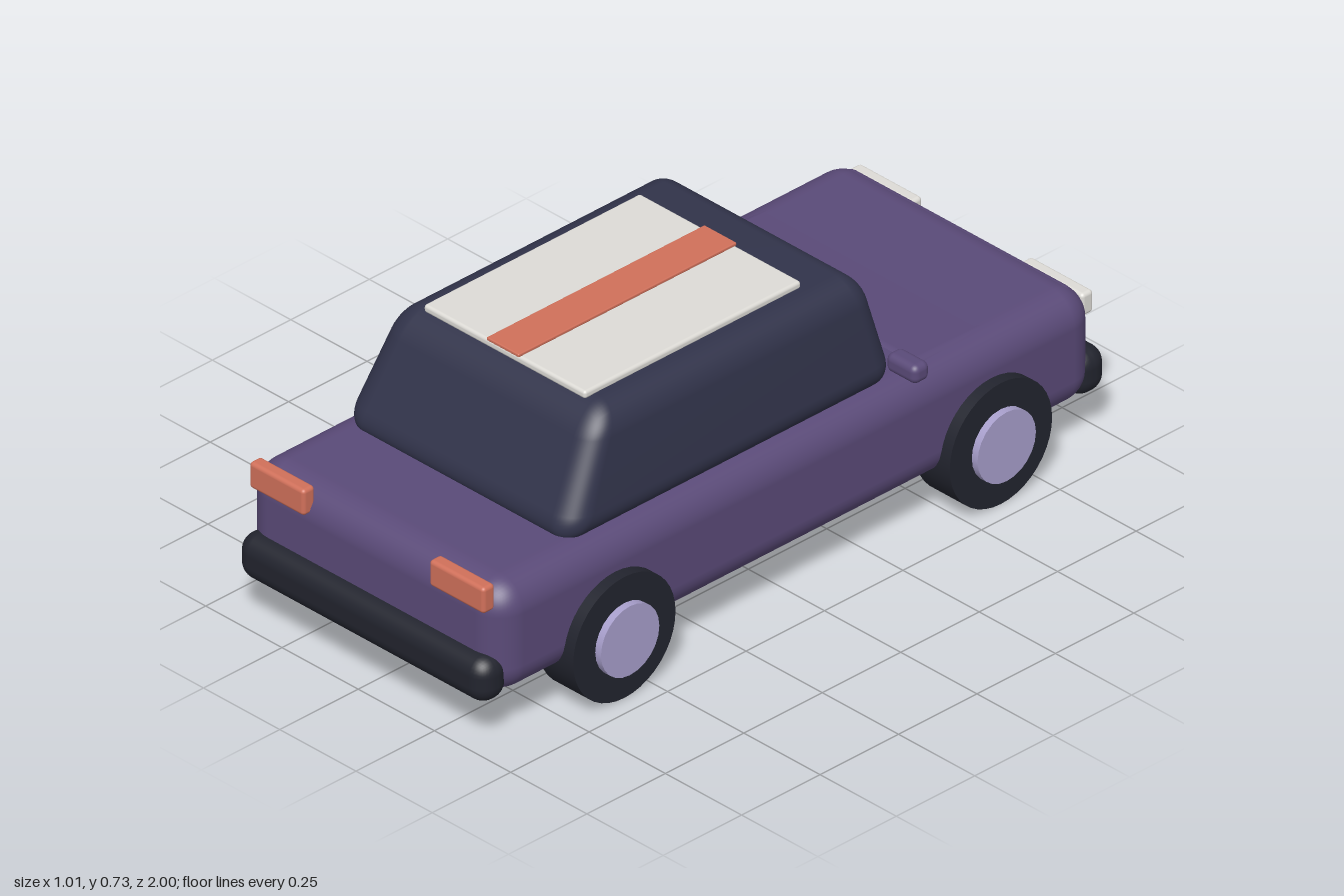
import * as THREE from 'three';
import { RoundedBoxGeometry } from 'three/addons/geometries/RoundedBoxGeometry.js';
import { mergeVertices } from 'three/addons/utils/BufferGeometryUtils.js';

const mat = (name, color) => {
  const m = new THREE.MeshStandardMaterial({ color });
  m.name = name;
  return m;
};

export function createModel() {
  const car = new THREE.Group();
  car.name = 'car';
  const paint = mat('purplePaint', 0x5a4a78);
  const glass = mat('darkGlass', 0x31334a);
  const rubber = mat('blackRubber', 0x22242e);
  const hubPaint = mat('lilacHub', 0xa89fcc);
  const orange = mat('orange', 0xd0705a);
  const white = mat('offWhite', 0xdddbd6);

  const add = (name, geometry, material, x = 0, y = 0, z = 0) => {
    const mesh = new THREE.Mesh(geometry, material);
    mesh.name = name;
    mesh.position.set(x, y, z);
    car.add(mesh);
    return mesh;
  };
  // Rounded box given by its extents on each axis
  const box = (name, material, [x0, x1], [y0, y1], [z0, z1], r, segments = 4) =>
    add(name, new RoundedBoxGeometry(x1 - x0, y1 - y0, z1 - z0, segments, r), material,
      (x0 + x1) / 2, (y0 + y1) / 2, (z0 + z1) / 2);

  // Lower body and slightly raised bonnet
  box('body', paint, [-0.42, 0.42], [0.12, 0.42], [-0.955, 0.96], 0.08, 6);
  const bonnet = box('bonnet', paint, [-0.37, 0.37], [0.359, 0.419], [-0.93, -0.41], 0.025);
  bonnet.rotation.x = -0.025;

  // Cabin: rounded box narrowed towards the roof
  const rounded = new RoundedBoxGeometry(0.77, 0.3, 1.085, 6, 0.07);
  rounded.deleteAttribute('normal');
  rounded.deleteAttribute('uv');
  const cabin = mergeVertices(rounded, 1e-4);
  const p = cabin.attributes.position;
  for (let i = 0; i < p.count; i++) {
    const t = p.getY(i) / 0.3 + 0.5;
    const u = p.getZ(i) / 1.085 + 0.5;
    const back = THREE.MathUtils.lerp(0.715, 0.555, t);
    const front = THREE.MathUtils.lerp(-0.37, -0.3, t);
    p.setX(i, p.getX(i) * THREE.MathUtils.lerp(1, 0.88, t));
    p.setZ(i, THREE.MathUtils.lerp(front, back, u));
  }
  cabin.computeVertexNormals();
  add('cabin', cabin, glass, 0, 0.55, 0);

  // Roof panel with its centre stripe
  box('roofPanel', white, [-0.265, 0.265], [0.695, 0.716], [-0.155, 0.535], 0.008);
  box('roofStripe', orange, [-0.053, 0.053], [0.716, 0.725], [-0.155, 0.54], 0.003);

  // Bumpers
  box('frontBumper', rubber, [-0.408, 0.408], [0.12, 0.24], [-1, -0.9], 0.045);
  box('rearBumper', rubber, [-0.408, 0.408], [0.12, 0.24], [0.905, 1], 0.045);

  const tyre = new THREE.CylinderGeometry(0.163, 0.163, 0.116, 40).rotateZ(Math.PI / 2);
  const hub = new THREE.CylinderGeometry(0.093, 0.093, 0.13, 24).rotateZ(Math.PI / 2);
  for (const s of [1, -1]) {
    const side = s > 0 ? 'left' : 'right';
    const span = (a, b) => (s > 0 ? [a, b] : [-b, -a]);
    // Lights and door mirror
    box(side + 'Headlight', white, span(0.178, 0.383), [0.33, 0.39], [-0.972, -0.935], 0.01);
    box(side + 'TailLight', orange, span(0.205, 0.385), [0.36, 0.43], [0.937, 0.975], 0.01);
    box(side + 'Mirror', paint, span(0.405, 0.505), [0.48, 0.53], [-0.335, -0.283], 0.018);
    // Wheels
    for (const [end, z] of [['Rear', 0.59], ['Front', -0.61]]) {
      add(side + end + 'Tyre', tyre, rubber, s * 0.393, 0.163, z);
      add(side + end + 'Hub', hub, hubPaint, s * 0.405, 0.163, z);
    }
  }
  return car;
}
